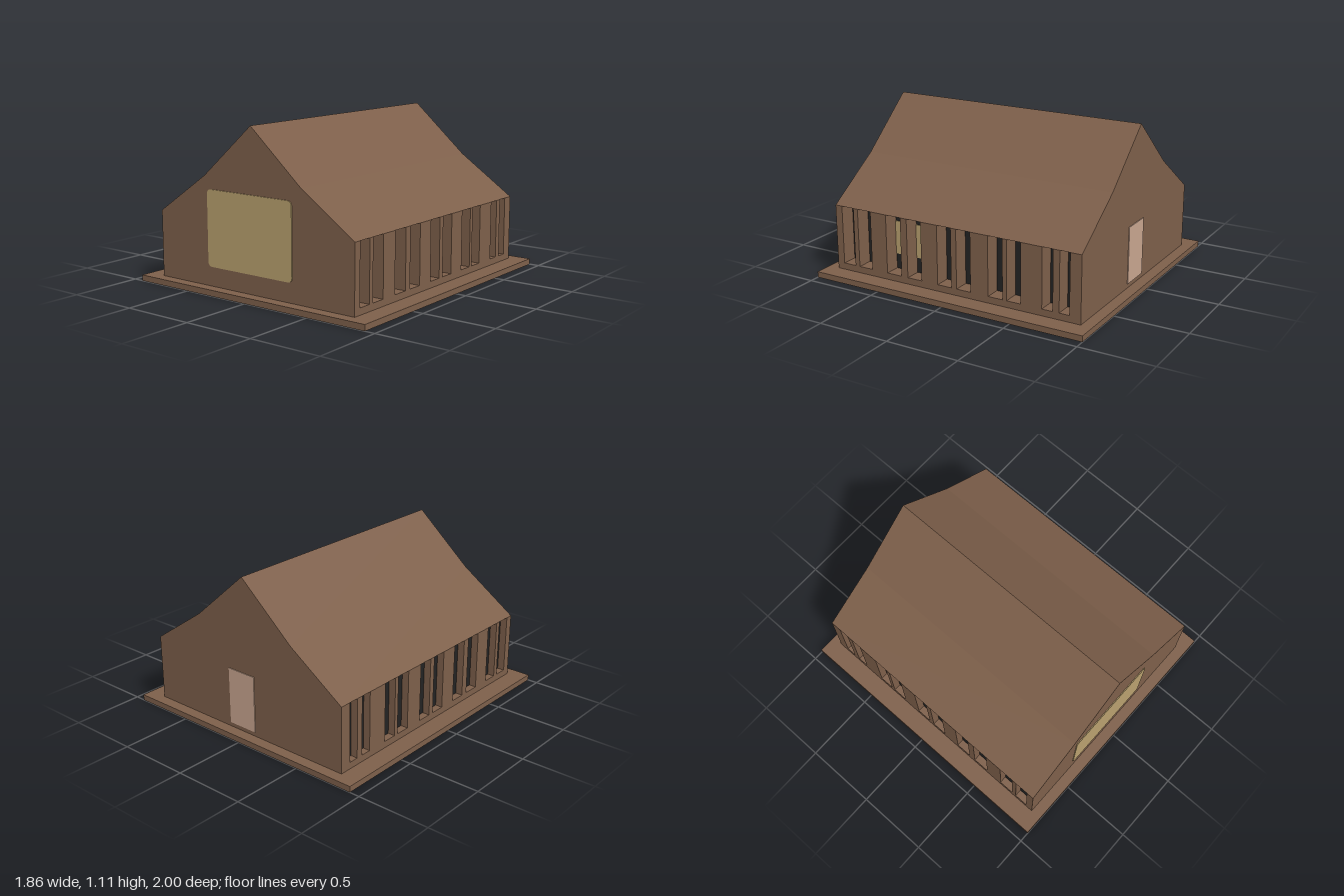
import * as THREE from 'three';

const brown = new THREE.MeshStandardMaterial({ name: 'brown wood', color: 0x7d5f4a });
const dark = new THREE.MeshStandardMaterial({ name: 'dark glass', color: 0x222222 });
const yellow = new THREE.MeshStandardMaterial({ name: 'warm yellow', color: 0xb8a06e });
const tan = new THREE.MeshStandardMaterial({ name: 'door tan', color: 0xc8a58f });

const BASE = 0.04, SILL = 0.085, EAVE = 0.49, HALF_W = 0.8, HALF_L = 0.923;
// window slots as [back z, front z]
const SLOTS = [
  [-0.845, -0.775], [-0.73, -0.655], [-0.505, -0.405], [-0.375, -0.27], [-0.14, -0.035],
  [0.005, 0.11], [0.235, 0.345], [0.395, 0.51], [0.635, 0.74], [0.775, 0.87],
];

export function createModel() {
  const model = new THREE.Group();
  model.name = 'barn';

  // box given by its lower and upper corners
  function box(name, mat, x0, x1, y0, y1, z0, z1, parent = model) {
    const mesh = new THREE.Mesh(new THREE.BoxGeometry(x1 - x0, y1 - y0, z1 - z0), mat);
    mesh.position.set((x0 + x1) / 2, (y0 + y1) / 2, (z0 + z1) / 2);
    mesh.name = name;
    parent.add(mesh);
    return mesh;
  }

  // base slab
  box('base', brown, -0.93, 0.93, 0, BASE, -1, 1);

  // roof prism with a shallower lower pitch, closed underneath at the eaves
  const gable = new THREE.Shape([
    [-HALF_W, EAVE], [HALF_W, EAVE], [0.4, 0.763], [0, 1.11], [-0.4, 0.763],
  ].map(([x, y]) => new THREE.Vector2(x, y)));
  const roof = new THREE.Mesh(
    new THREE.ExtrudeGeometry(gable, { depth: HALF_L * 2, bevelEnabled: false }), brown);
  roof.position.z = -HALF_L;
  roof.name = 'roof';
  model.add(roof);

  // end walls, from corner to corner
  const inner = 0.68;
  for (const s of [-1, 1]) {
    const z = s * (HALF_L - 0.02);
    box(s > 0 ? 'frontWall' : 'backWall', brown, -inner, inner, BASE, EAVE, z - 0.02, z + 0.02);
  }

  // side walls: sill, piers between slots, glass at the back of each slot
  for (const s of [-1, 1]) {
    const wall = new THREE.Group();
    wall.name = s > 0 ? 'leftWall' : 'rightWall';
    model.add(wall);
    const depth = s > 0 ? 0.11 : 0.05;
    const span = (a, b) => [Math.min(s * a, s * b), Math.max(s * a, s * b)];
    const [x0, x1] = span(inner, HALF_W);
    box('sill', brown, x0, x1, BASE, SILL, -HALF_L, HALF_L, wall);
    const edges = [-HALF_L, ...SLOTS.flat(), HALF_L];
    for (let i = 0; i < edges.length; i += 2) {
      box('pier', brown, x0, x1, SILL, EAVE, edges[i], edges[i + 1], wall);
    }
    const face = HALF_W - depth;
    const [g0, g1] = span(face - 0.008, face);
    SLOTS.forEach(([a, b], i) => {
      box('glass', dark, g0, g1, SILL, EAVE, a, b, wall);
      // lit panes in one pair
      if (s > 0 && (i === 6 || i === 7)) {
        box('litPane', yellow, face, face + 0.005, 0.19, 0.42, a, b, wall);
      }
    });
  }

  // rounded front panel
  const [l, r, b, t, k] = [-0.375, 0.327, 0.17, 0.678, 0.03];
  const panel = new THREE.Shape();
  panel.absarc(r - k, b + k, k, -Math.PI / 2, 0);
  panel.absarc(r - k, t - k, k, 0, Math.PI / 2);
  panel.absarc(l + k, t - k, k, Math.PI / 2, Math.PI);
  panel.absarc(l + k, b + k, k, Math.PI, Math.PI * 1.5);
  const front = new THREE.Mesh(
    new THREE.ExtrudeGeometry(panel, { depth: 0.006, bevelEnabled: false, curveSegments: 6 }), yellow);
  front.position.z = HALF_L;
  front.name = 'frontPanel';
  model.add(front);

  // back door
  box('backDoor', tan, -0.08, 0.14, 0.07, 0.46, -HALF_L - 0.005, -HALF_L);

  return model;
}
